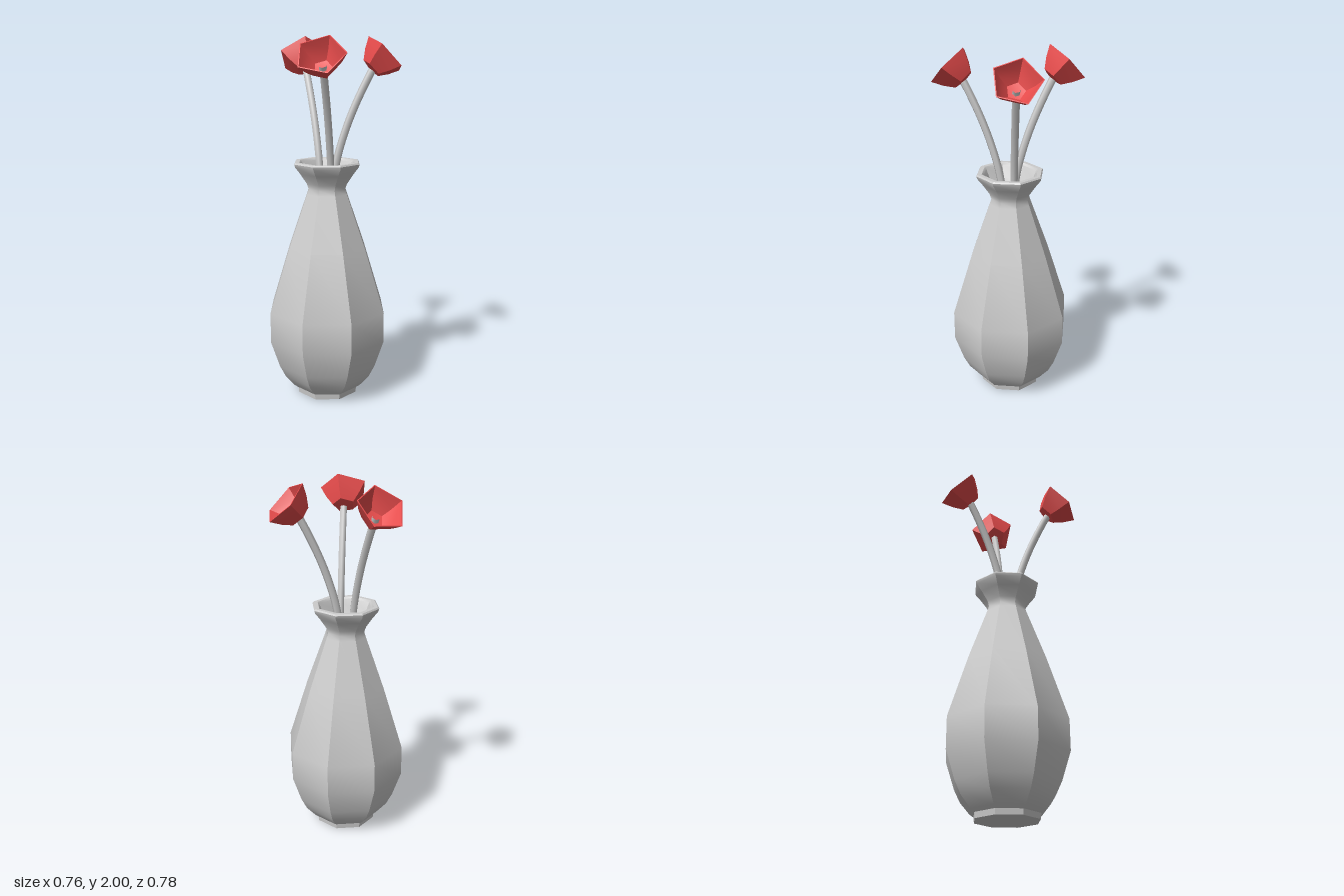
import * as THREE from 'three';
import { toCreasedNormals } from 'three/addons/utils/BufferGeometryUtils.js';

const grey = new THREE.MeshStandardMaterial({ color: 0xcccccc });
const red = new THREE.MeshStandardMaterial({ color: 0xe84c4c });

// Faceted lathe: sharp between the sides, smooth along the profile
function facetedLathe(profile, sides, start = 0) {
  const points = profile.map(([r, y]) => new THREE.Vector2(r, y));
  return toCreasedNormals(new THREE.LatheGeometry(points, sides, start), 0.6);
}

function named(name, geometry, material) {
  const mesh = new THREE.Mesh(geometry, material);
  mesh.name = name;
  return mesh;
}

// Hollow eight-sided vase: up the outside, over the rim, down the inside
function createVase() {
  const profile = [
    [0, 0], [0.176, 0], [0.179, 0.03], [0.2, 0.045], [0.255, 0.11], [0.29, 0.18], [0.34, 0.33], [0.34, 0.5],
    [0.225, 0.86], [0.118, 1.155], [0.108, 1.185], [0.118, 1.215], [0.155, 1.27], [0.186, 1.31], [0.19, 1.325],
    [0.184, 1.333], [0.16, 1.333], [0.15, 1.322], [0.13, 1.275], [0.09, 1.22], [0.078, 1.185], [0.09, 1.145],
    [0.195, 0.855], [0.31, 0.49], [0.31, 0.335], [0.26, 0.19], [0.17, 0.06], [0, 0.06],
  ];
  const vase = named('vase', facetedLathe(profile, 8), grey);
  vase.position.set(-0.04, 0, 0.01);
  return vase;
}

// Stem offsets from the bloom centre: outward, height, sideways
const stemPath = [
  [-0.2, 0.55, -0.07], [-0.25, 0.8, -0.04], [-0.28, 1.05, -0.012], [-0.288, 1.2, 0],
  [-0.267, 1.34, 0], [-0.22, 1.5, 0], [-0.16, 1.65, 0], [-0.075, 1.82, 0], [-0.055, 1.85, 0],
];

// Five-sided open cup, with its wall thickness
const bloomProfile = [
  [0, -0.12], [0.062, -0.11], [0.1, -0.06], [0.133, 0],
  [0.127, 0.001], [0.092, -0.055], [0.05, -0.095], [0, -0.1],
];

function createFlower({ x, z, stemAngle, bloomAngle, spin }) {
  const rad = THREE.MathUtils.degToRad;
  const flower = new THREE.Group();
  flower.name = 'flower';

  const c = Math.cos(rad(stemAngle)), s = Math.sin(rad(stemAngle));
  const curve = new THREE.CatmullRomCurve3(
    stemPath.map(([out, y, side]) => new THREE.Vector3(x + out * c - side * s, y, z + out * s + side * c)));
  flower.add(named('stem', new THREE.TubeGeometry(curve, 28, 0.021, 6), grey));

  // Bloom tilts outward at 45 degrees
  const bc = Math.cos(rad(bloomAngle)), bs = Math.sin(rad(bloomAngle));
  const facing = new THREE.Vector3(bc, 0.96, bs).normalize();
  const side = new THREE.Vector3(-bs, 0, bc);
  const uphill = new THREE.Vector3().crossVectors(side, facing);
  const bloom = named('bloom', facetedLathe(bloomProfile, 5, rad(spin)), red);
  bloom.quaternion.setFromRotationMatrix(new THREE.Matrix4().makeBasis(side, facing, uphill));
  bloom.position.set(x, 1.905, z);
  flower.add(bloom);
  return flower;
}

export function createModel() {
  const model = new THREE.Group();
  model.name = 'vaseWithFlowers';
  model.add(createVase());
  const flowers = [
    { x: 0.281, z: 0.07, stemAngle: 14, bloomAngle: 12, spin: -16 },
    { x: -0.065, z: -0.31, stemAngle: -90, bloomAngle: -92, spin: -6 },
    { x: -0.19, z: 0.295, stemAngle: 123, bloomAngle: 122, spin: -14 },
  ];
  for (const f of flowers) model.add(createFlower(f));
  return model;
}
